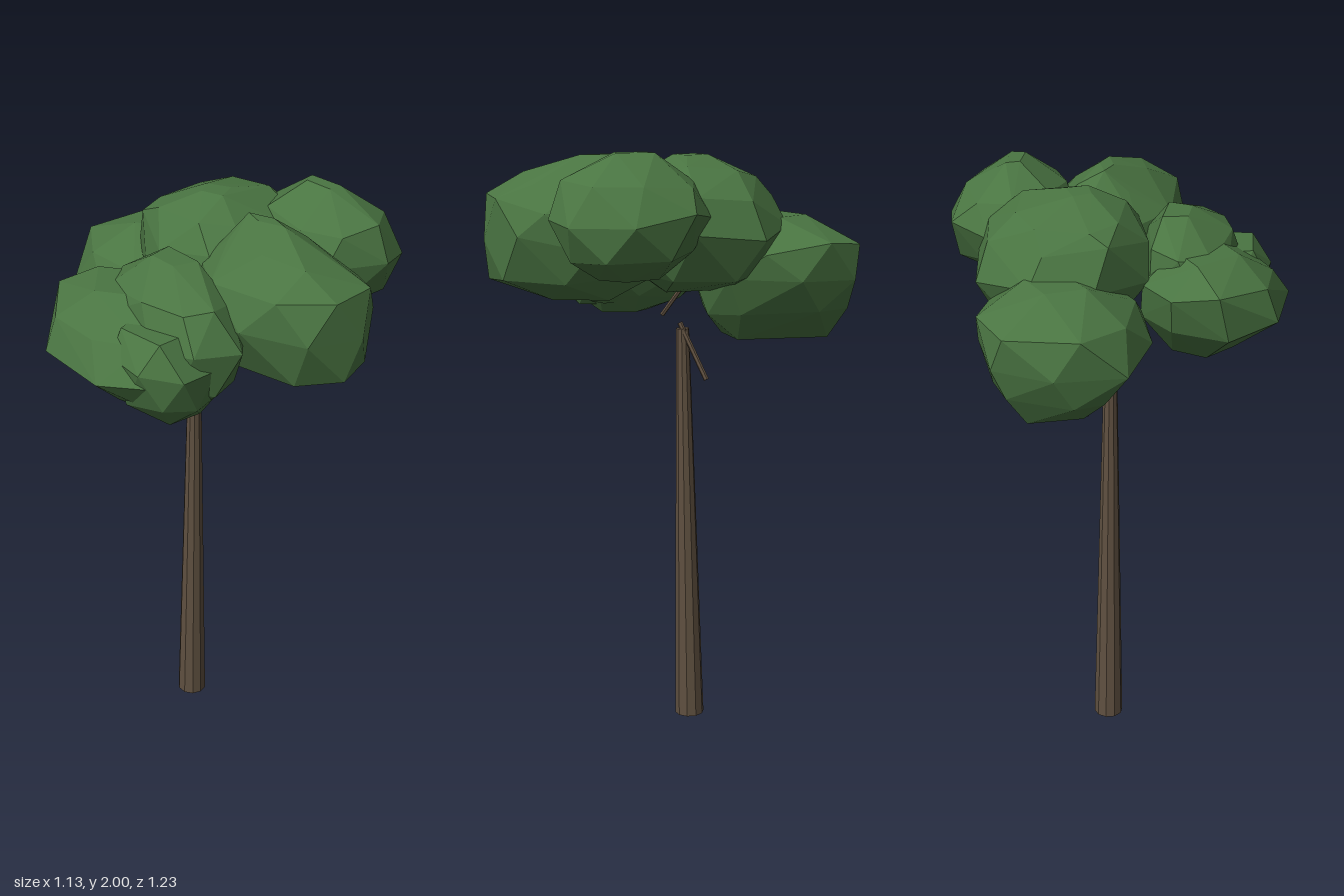
import * as THREE from 'three';
import { ConvexGeometry } from 'three/addons/geometries/ConvexGeometry.js';

const leafGreen = new THREE.MeshStandardMaterial({ color: 0x4a7542, flatShading: true });
leafGreen.name = 'leafGreen';
const barkBrown = new THREE.MeshStandardMaterial({ color: 0x5f5040, flatShading: true });
barkBrown.name = 'barkBrown';

function seededRandom(seed) {
  let s = seed * 7919 + 13;
  return () => {
    s = (s * 16807) % 2147483647;
    return s / 2147483647;
  };
}

// Faceted leaf clump: uneven rings, each filling [y, xMin, xMax, zMin, zMax], wrapped in a hull.
// A squareness below 1 pushes the ring corners outward.
function leafClump(name, seed, squareness, levels) {
  const rand = seededRandom(seed);
  const points = [];
  const square = (a) => Math.sign(a) * Math.abs(a) ** squareness;
  levels.forEach(([y, x0, x1, z0, z1], i) => {
    const isCap = i === 0 || i === levels.length - 1;
    const sides = isCap ? 4 : 8;
    const phase = rand() * Math.PI;
    const ring = [];
    for (let k = 0; k < sides; k++) {
      const a = phase + ((k + (rand() - 0.5) * 0.3) / sides) * Math.PI * 2;
      const lift = isCap ? 0 : (rand() - 0.5) * 0.05;
      ring.push(new THREE.Vector3(square(Math.cos(a)), lift, square(Math.sin(a))));
    }
    const box = new THREE.Box3().setFromPoints(ring);
    for (const p of ring) {
      p.x = THREE.MathUtils.mapLinear(p.x, box.min.x, box.max.x, x0, x1);
      p.z = THREE.MathUtils.mapLinear(p.z, box.min.z, box.max.z, z0, z1);
      p.y += y;
    }
    points.push(...ring);
  });
  const mesh = new THREE.Mesh(new ConvexGeometry(points), leafGreen);
  mesh.name = name;
  return mesh;
}

// Tapered limb between two points
function limb(name, from, to, r0, r1, sides) {
  const a = new THREE.Vector3(...from);
  const b = new THREE.Vector3(...to);
  const dir = b.clone().sub(a);
  const mesh = new THREE.Mesh(new THREE.CylinderGeometry(r1, r0, dir.length(), sides), barkBrown);
  mesh.position.copy(a).add(b).multiplyScalar(0.5);
  mesh.quaternion.setFromUnitVectors(new THREE.Vector3(0, 1, 0), dir.normalize());
  mesh.name = name;
  return mesh;
}

export function createModel() {
  const tree = new THREE.Group();
  tree.name = 'tree';

  // Trunk and bare branches
  tree.add(
    limb('trunk', [-0.013, 0.001, -0.072], [-0.015, 1.39, -0.045], 0.051, 0.022, 10),
    limb('lowerBranch', [-0.012, 1.41, -0.035], [0.055, 1.225, -0.115], 0.009, 0.009, 6),
    limb('upperBranch', [-0.085, 1.425, 0.015], [-0.035, 1.6, -0.1], 0.008, 0.008, 6),
  );

  // Crown of overlapping clumps, each listed from its lowest ring up
  const crown = new THREE.Group();
  crown.name = 'crown';
  crown.add(
    leafClump('backClump', 3, 0.8, [
      [1.38, 0.0, 0.17, -0.5, -0.17],
      [1.46, -0.1, 0.28, -0.57, -0.1],
      [1.59, -0.19, 0.34, -0.615, -0.05],
      [1.69, -0.13, 0.33, -0.59, -0.08],
      [1.78, 0.0, 0.2, -0.43, -0.25],
    ]),
    leafClump('frontClump', 5, 0.85, [
      [1.515, 0.0, 0.14, 0.18, 0.4],
      [1.58, -0.12, 0.22, 0.08, 0.6],
      [1.71, -0.2, 0.265, 0.04, 0.615],
      [1.83, -0.17, 0.24, 0.05, 0.6],
      [1.91, -0.07, 0.16, 0.1, 0.51],
      [1.975, 0.02, 0.07, 0.15, 0.3],
    ]),
    leafClump('leftClump', 8, 0.92, [
      [1.605, 0.26, 0.36, 0.08, 0.27],
      [1.69, 0.18, 0.52, -0.01, 0.37],
      [1.81, 0.14, 0.565, -0.08, 0.43],
      [1.91, 0.18, 0.5, -0.03, 0.39],
      [2.0, 0.31, 0.36, 0.1, 0.22],
    ]),
    leafClump('centreClump', 11, 0.9, [
      [1.55, 0.03, 0.22, -0.17, 0.06],
      [1.62, -0.09, 0.34, -0.29, 0.13],
      [1.73, -0.15, 0.42, -0.355, 0.2],
      [1.85, -0.14, 0.38, -0.31, 0.18],
      [1.93, -0.06, 0.27, -0.25, 0.1],
      [1.975, 0.04, 0.13, -0.11, 0.0],
    ]),
    leafClump('rightClump', 14, 0.88, [
      [1.41, -0.32, -0.24, 0.04, 0.2],
      [1.47, -0.45, -0.18, -0.11, 0.28],
      [1.6, -0.57, -0.12, -0.23, 0.31],
      [1.71, -0.52, -0.13, -0.26, 0.24],
      [1.79, -0.42, -0.22, -0.16, 0.1],
    ]),
    leafClump('rightUpperClump', 17, 0.88, [
      [1.45, -0.31, -0.2, 0.1, 0.25],
      [1.55, -0.38, -0.13, -0.06, 0.37],
      [1.68, -0.41, -0.09, -0.13, 0.415],
      [1.79, -0.38, -0.11, -0.12, 0.34],
      [1.88, -0.25, -0.17, 0.02, 0.16],
    ]),
    leafClump('rightFrontClump', 21, 0.88, [
      [1.44, -0.38, -0.25, 0.15, 0.28],
      [1.52, -0.47, -0.2, 0.08, 0.36],
      [1.64, -0.5, -0.2, 0.06, 0.38],
      [1.74, -0.45, -0.25, 0.08, 0.3],
    ]),
  );
  tree.add(crown);
  return tree;
}
